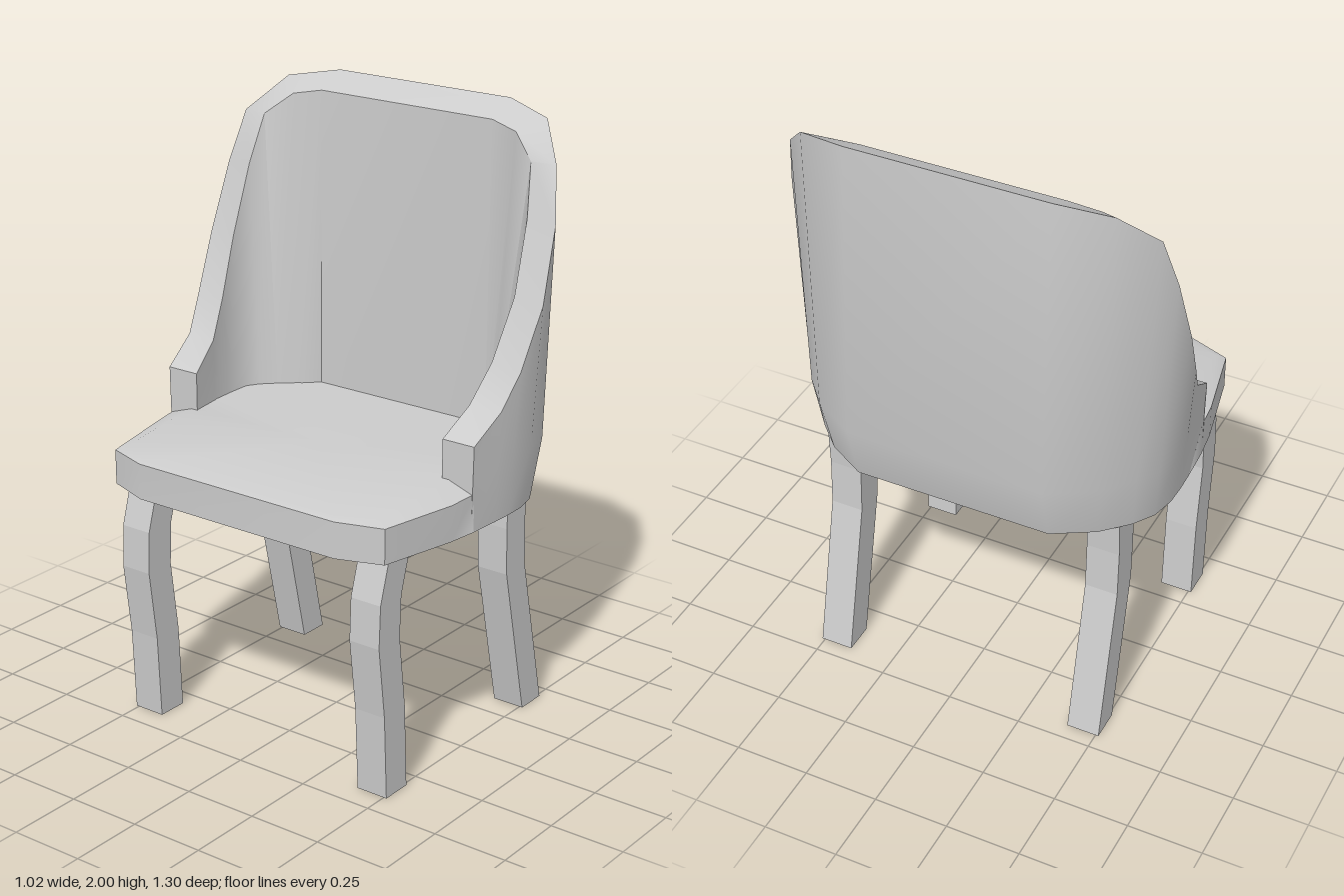
import * as THREE from 'three';
import { toCreasedNormals } from 'three/addons/utils/BufferGeometryUtils.js';

const material = new THREE.MeshStandardMaterial({ color: 0xcccccc });

// Back shell sections for one half, from arm front to back centre panel:
// outer rim x,y,z | outer wall at y=1 x,z | outer bottom x,z | inner rim x,y,z | inner base x,z
const sections = [
  [-0.11, 1.08, 0.6, -0.11, 0.597, -0.11, 0.595, -0.11, 1.08, 0.485, -0.11, 0.485],
  [0.01, 1.16, 0.615, 0.01, 0.61, 0.01, 0.603, 0, 1.16, 0.505, 0, 0.5],
  [0.08, 1.27, 0.635, 0.08, 0.618, 0.08, 0.605, 0.08, 1.28, 0.53, 0.08, 0.503],
  [0.17, 1.46, 0.65, 0.17, 0.622, 0.15, 0.603, 0.165, 1.47, 0.55, 0.165, 0.503],
  [0.25, 1.69, 0.635, 0.26, 0.605, 0.23, 0.585, 0.24, 1.7, 0.54, 0.205, 0.48],
  [0.3, 1.86, 0.6, 0.33, 0.56, 0.3, 0.54, 0.29, 1.86, 0.515, 0.25, 0.435],
  [0.4, 1.97, 0.5, 0.42, 0.48, 0.38, 0.46, 0.335, 1.93, 0.43, 0.3, 0.38],
  [0.455, 2, 0.33, 0.51, 0.33, 0.455, 0.33, 0.355, 1.95, 0.33, 0.35, 0.33],
];

// Mirrors half of a list of point columns across z = 0
function mirrorColumns(half) {
  const other = half.map((col) => col.map(([x, y, z]) => [x, y, -z])).reverse();
  return [...half, ...other];
}

// Surface over columns of points, optionally wrapped either way or capped at both ends
function surface(cols, { wrapCols = false, wrapRows = false, caps = false }) {
  const n = cols.length, m = cols[0].length, pos = [];
  const tri = (a, b, c) => {
    const [A, B, C] = [a, b, c].map((p) => new THREE.Vector3(...p));
    if (B.sub(A).cross(C.sub(A)).length() > 1e-7) pos.push(...a, ...b, ...c);
  };
  for (let i = 0; i < (wrapCols ? n : n - 1); i++) {
    for (let j = 0; j < (wrapRows ? m : m - 1); j++) {
      const p = cols[i], q = cols[(i + 1) % n], k = (j + 1) % m;
      tri(p[j], q[j], q[k]);
      tri(p[j], q[k], p[k]);
    }
  }
  if (caps) {
    const s = cols[0], e = cols[n - 1];
    for (let j = 1; j < m - 1; j++) {
      tri(s[0], s[j], s[j + 1]);
      tri(e[0], e[j + 1], e[j]);
    }
  }
  const geometry = new THREE.BufferGeometry();
  geometry.setAttribute('position', new THREE.Float32BufferAttribute(pos, 3));
  return toCreasedNormals(geometry, 0.65);
}

function addPart(parent, geometry, name) {
  const mesh = new THREE.Mesh(geometry, material);
  mesh.name = name;
  parent.add(mesh);
  return mesh;
}

// Curved leg: side outline from centre points [x, y], extruded across z
function legGeometry(path) {
  const w = 0.0525;
  const left = path.map(([x, y]) => new THREE.Vector2(x - w, y));
  const right = path.map(([x, y]) => new THREE.Vector2(x + w, y)).reverse();
  const geometry = new THREE.ExtrudeGeometry(new THREE.Shape([...left, ...right]), { depth: 0.11, bevelEnabled: false });
  return geometry.translate(0, 0, -0.055);
}

export function createModel() {
  const chair = new THREE.Group();
  chair.name = 'chair';

  // Wraparound back with sloping arms
  const shell = sections.map(([rx, ry, rz, mx, mz, bx, bz, ix, iy, iz, cx, cz]) => [
    [bx, 0.8, bz], [mx, 1, mz], [rx, ry, rz], [ix, iy, iz], [cx, 0.9, cz],
  ]);
  addPart(chair, surface(mirrorColumns(shell), { wrapRows: true, caps: true }), 'backrest');

  // Seat: open front outline, then tucked into the shell wall towards the back
  const bottom = [0, 0.8, 0], crown = [-0.1, 0.957, 0];
  const front = [
    // outline x,z | edge height | cushion top x,y,z
    [-0.512, 0.38, 0.918, -0.49, 0.926, 0.36],
    [-0.46, 0.528, 0.915, -0.44, 0.93, 0.495],
    [-0.2, 0.585, 0.918, -0.2, 0.948, 0.51],
    [-0.1, 0.597, 0.925, -0.1, 0.955, 0.51],
  ].map(([x, z, y, tx, ty, tz]) => [bottom, [x, 0.8, z], [x, y, z], [tx, ty, tz], crown]);
  const back = sections.slice(1).map(([, , , , , bx, bz, , , , cx, cz]) => {
    const x = cx + 0.02, z = cz + 0.02;
    return [bottom, [bx, 0.8, bz], [x, 0.915, z], [x, 0.955, z], crown];
  });
  addPart(chair, surface(mirrorColumns([...front, ...back]), { wrapCols: true }), 'seat');

  // Four curved legs
  const frontLeg = legGeometry([[-0.365, 0], [-0.378, 0.28], [-0.408, 0.52], [-0.402, 0.66], [-0.36, 0.8]]);
  const backLeg = legGeometry([[0.393, 0], [0.278, 0.52], [0.272, 0.68], [0.278, 0.8]]);
  for (const side of [1, -1]) {
    const label = side > 0 ? 'Left' : 'Right';
    addPart(chair, frontLeg, 'frontLeg' + label).position.z = side * 0.455;
    addPart(chair, backLeg, 'backLeg' + label).position.z = side * 0.455;
  }
  return chair;
}
